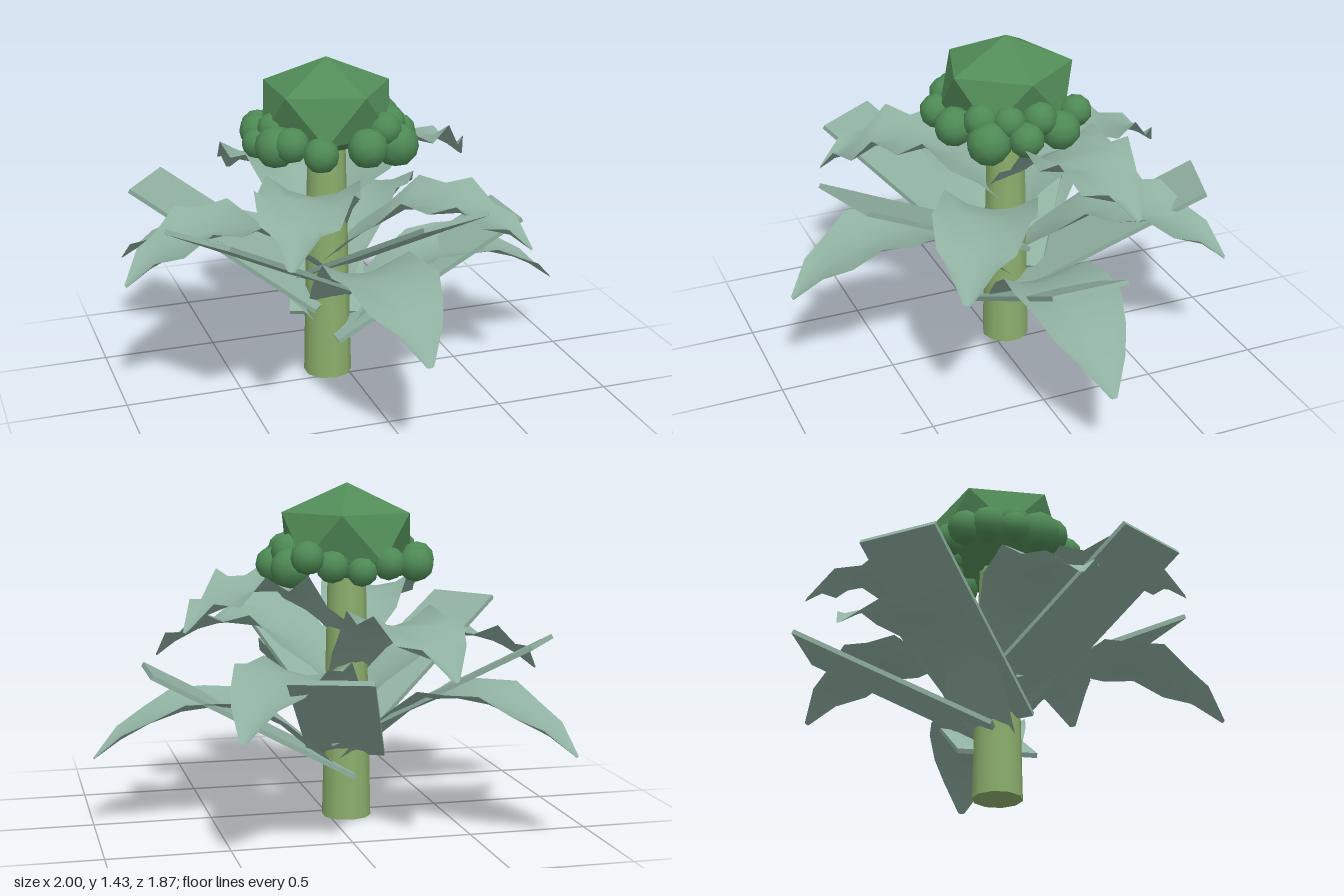
import * as THREE from 'three';

const stalkGreen = new THREE.MeshStandardMaterial({ name: 'stalkGreen', color: 0x8cae6c });
const headGreen = new THREE.MeshStandardMaterial({ name: 'headGreen', color: 0x528c58, flatShading: true });
const floretGreen = new THREE.MeshStandardMaterial({ name: 'floretGreen', color: 0x4e8a55 });
const leafGreen = new THREE.MeshStandardMaterial({ name: 'leafGreen', color: 0x8fb0a0, side: THREE.DoubleSide });

const AXIS_X = -0.08, AXIS_Z = -0.07;
const deg = THREE.MathUtils.degToRad;

function addMesh(parent, name, geometry, material) {
  const mesh = new THREE.Mesh(geometry, material);
  mesh.name = name;
  parent.add(mesh);
  return mesh;
}

// Leaf stations: fraction along the length, height above the base, half width
const STATIONS = [
  [0, -0.05, 0.09], [0.13, 0.08, 0.13], [0.27, 0.21, 0.17], [0.41, 0.285, 0.195], [0.54, 0.31, 0.21],
  [0.67, 0.29, 0.2], [0.79, 0.25, 0.16], [0.9, 0.18, 0.1], [1, 0.1, 0.015],
];

// Arched, cupped leaf running along +x with wavy edges
function leafGeometry(length, ripple) {
  const positions = [], indices = [], across = 4;
  const rise = length / 1.08;
  STATIONS.forEach(([s, y, half], i) => {
    const wave = i > 1 && i < 8 ? (i % 2 ? ripple : -ripple) : 0;
    for (let j = 0; j <= across; j++) {
      const t = (j / across) * 2 - 1;
      const lift = t * t * (half * 0.25 + wave);
      positions.push(s * length, y * rise + lift, t * half);
      if (i < STATIONS.length - 1 && j < across) {
        const a = i * (across + 1) + j, b = a + across + 1;
        indices.push(a, a + 1, b, a + 1, b + 1, b);
      }
    }
  });
  const geometry = new THREE.BufferGeometry();
  geometry.setAttribute('position', new THREE.Float32BufferAttribute(positions, 3));
  geometry.setIndex(indices);
  geometry.computeVertexNormals();
  return geometry;
}

export function createModel() {
  const model = new THREE.Group();
  model.name = 'vegetablePlant';
  const plant = new THREE.Group();
  plant.name = 'plant';
  plant.position.set(AXIS_X, 0, AXIS_Z);
  model.add(plant);

  // Stalk
  addMesh(plant, 'stalk', new THREE.CylinderGeometry(0.08, 0.105, 1.1, 10), stalkGreen).position.y = 0.55;

  // Head: squashed icosahedron standing on a vertex
  const headShape = new THREE.IcosahedronGeometry(1, 0);
  headShape.rotateX(-Math.atan((1 + Math.sqrt(5)) / 2));
  headShape.rotateY(Math.PI / 2);
  headShape.scale(0.313, 0.217, 0.313);
  addMesh(plant, 'head', headShape, headGreen).position.y = 1.213;

  // Florets around the head: x, y, z, radius
  const florets = [
    [-0.19, 1.09, 0.2, 0.075], [0.01, 1.1, 0.2, 0.085], [0.17, 1.075, 0.11, 0.095], [0.23, 1.09, -0.03, 0.075],
    [0.19, 1.09, -0.2, 0.085], [0.14, 1.14, -0.29, 0.07], [0.03, 1.1, -0.27, 0.07], [-0.2, 1.11, -0.3, 0.07],
    [-0.33, 1.1, -0.25, 0.075], [-0.36, 1.11, -0.16, 0.075], [-0.39, 1.09, -0.05, 0.065],
    [-0.34, 1.1, 0.06, 0.09], [-0.29, 1.12, 0.12, 0.075], [0.11, 1.15, 0.12, 0.075], [-0.09, 1.08, -0.29, 0.065],
    [0.18, 1.15, -0.11, 0.075], [0.17, 1.15, 0.02, 0.07], [-0.32, 1.15, -0.04, 0.07],
  ];
  florets.forEach(([x, y, z, r], i) => {
    const floret = addMesh(plant, `floret${i + 1}`, new THREE.IcosahedronGeometry(r, 1), floretGreen);
    floret.position.set(x - AXIS_X, y, z - AXIS_Z);
  });

  // Curved leaves spiralling up the stalk
  for (let i = 0; i < 9; i++) {
    const shape = leafGeometry(1.08 - 0.038 * i, 0.01 + 0.0037 * i);
    const leaf = addMesh(plant, `curvedLeaf${i + 1}`, shape, leafGreen);
    leaf.position.y = 0.2 + 0.073 * i;
    leaf.rotation.y = deg(137.5 * i);
  }

  // Straight flat leaves, each a step higher than the last
  const flatShape = new THREE.BoxGeometry(0.97, 0.02, 0.33);
  flatShape.translate(0.485, 0, 0);
  flatShape.rotateZ(deg(28.6));
  for (let i = 0; i < 5; i++) {
    const leaf = addMesh(plant, `flatLeaf${i + 1}`, flatShape, leafGreen);
    leaf.position.y = 0.2 + 0.071 * i;
    leaf.rotation.y = deg(72 * i);
  }

  return model;
}
